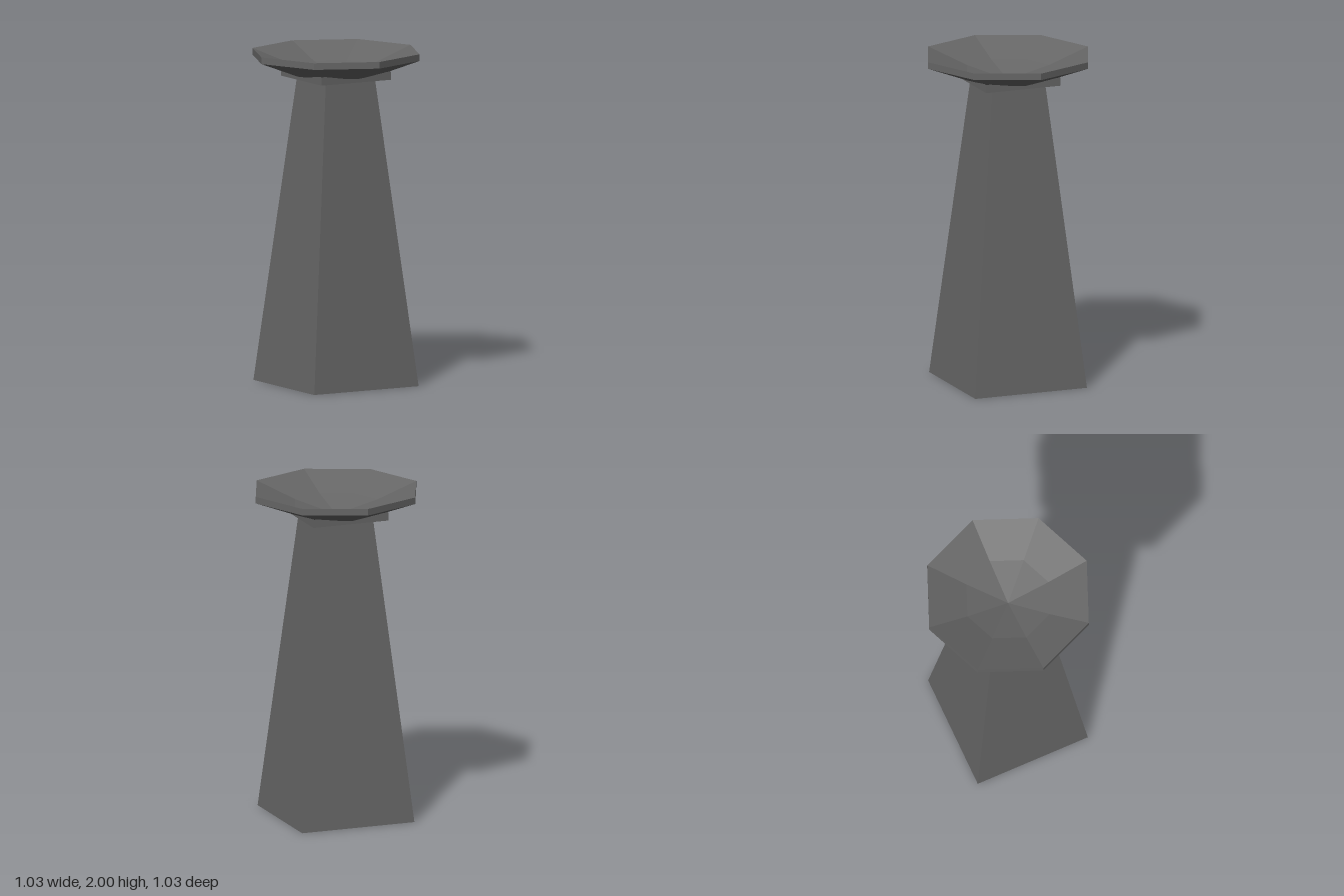
import * as THREE from 'three';

export function createModel() {
  const group = new THREE.Group();
  const stone = new THREE.MeshStandardMaterial({ color: 0x666666, flatShading: true, side: THREE.DoubleSide });
  stone.name = 'darkStone';

  const add = (name, geometry, y = 0) => {
    const mesh = new THREE.Mesh(geometry, stone);
    mesh.name = name;
    mesh.position.y = y;
    group.add(mesh);
  };

  // Tapered square pillar, hollow and open at the foot
  const pillarHeight = 1.84;
  const pillar = new THREE.CylinderGeometry(0.17 * Math.SQRT2, 0.36 * Math.SQRT2, pillarHeight, 4, 1, true);
  pillar.rotateY(Math.PI / 4);
  add('pillar', pillar, pillarHeight / 2);

  // Square collar: four sides and an underside, open where the bowl sinks in
  const collarHalf = 0.24;
  const collar = new THREE.CylinderGeometry(collarHalf * Math.SQRT2, collarHalf * Math.SQRT2, 0.05, 4, 1, true);
  collar.rotateY(Math.PI / 4);
  add('collar', collar, pillarHeight + 0.025);
  const underside = new THREE.PlaneGeometry(collarHalf * 2, collarHalf * 2);
  underside.rotateX(Math.PI / 2);
  add('collarUnderside', underside, pillarHeight);

  // Shallow eight-sided bowl: underside, rim, then the hollow top
  const profile = [
    [0, 1.842], [0.265, 1.866], [0.515, 1.96],
    [0.515, 2.0], [0.265, 1.91], [0, 1.845],
  ].map(([r, y]) => new THREE.Vector2(r, y));
  add('bowl', new THREE.LatheGeometry(profile, 8));

  return group;
}
